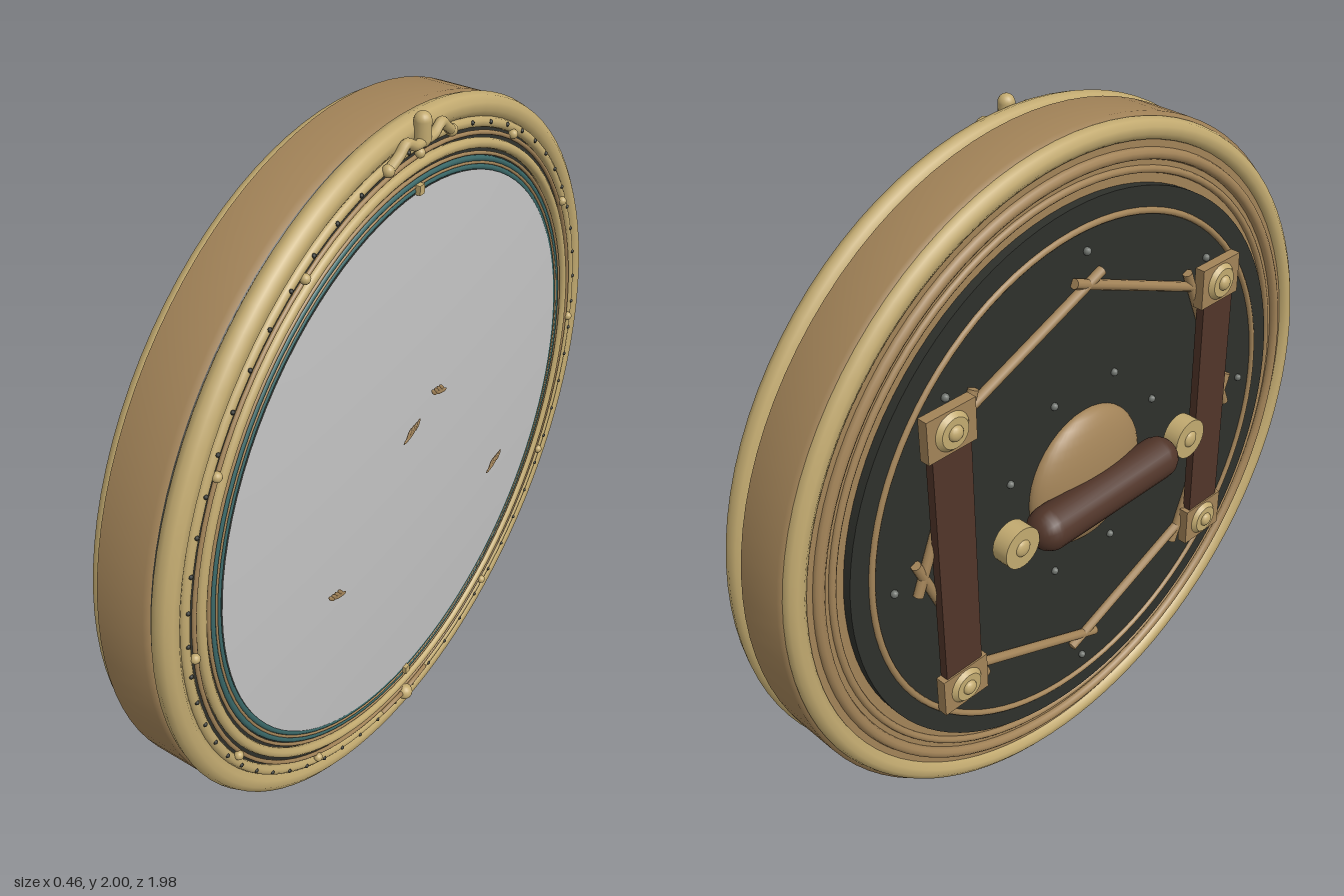
import * as THREE from 'three';

const mat = (name, color, side = THREE.FrontSide) => {
  const m = new THREE.MeshStandardMaterial({ color, side });
  m.name = name;
  return m;
};

export function createModel() {
  const gold = mat('pale gold', 0xc2aa70);
  const bronze = mat('bronze', 0xa28358);
  const dark = mat('dark iron', 0x2e302b);
  const leather = mat('brown leather', 0x513529);
  const glass = mat('silver glass', 0xc2c2c2);
  const teal = mat('teal enamel', 0x3a6868);
  const steel = mat('grey steel', 0x6c706b);

  // Everything is built with the disc facing +z, then turned to face +x.
  const disc = new THREE.Group();
  disc.name = 'disc';
  const add = (name, geo, m, x = 0, y = 0, z = 0, parent = disc) => {
    const mesh = new THREE.Mesh(geo, m);
    mesh.name = name;
    mesh.position.set(x, y, z);
    parent.add(mesh);
    return mesh;
  };
  // Profile of [radius, z] points turned round the z axis
  const lathe = (pts, seg = 96) =>
    new THREE.LatheGeometry(pts.map(p => new THREE.Vector2(...p)), seg).rotateX(Math.PI / 2);
  const ring = (name, R, tube, z, m, flat = 1) =>
    add(name, new THREE.TorusGeometry(R, tube, 10, 96), m, 0, 0, z).scale.set(1, 1, flat);
  const polar = (n, r, fn, offset = 0) => {
    for (let i = 0; i < n; i++) {
      const a = offset + i / n * Math.PI * 2;
      fn(r * Math.cos(a), r * Math.sin(a), a);
    }
  };
  const cylZ = (r1, r2, h, seg = 24) => new THREE.CylinderGeometry(r1, r2, h, seg).rotateX(Math.PI / 2);

  // Drum body
  add('drumWall', lathe([[0.97, -0.055], [0.985, -0.045], [0.985, 0.092], [0.97, 0.102]]), bronze);
  add('drumFrontFace', lathe([[0.97, 0.1], [0.93, 0.145], [0.79, 0.145]]), dark);
  add('drumBackFace', lathe([[0, -0.068], [0.95, -0.068]]), bronze);
  ring('backRim', 0.945, 0.03, -0.055, gold);
  ring('backInnerRim', 0.885, 0.016, -0.07, bronze);
  ring('backStepRim', 0.845, 0.01, -0.07, bronze);

  // Front frame: stacked mouldings
  ring('frontRim', 0.957, 0.033, 0.135, gold);
  ring('beadBand', 0.918, 0.014, 0.155, gold);
  ring('fineMoulding', 0.893, 0.006, 0.163, bronze);
  ring('innerMoulding', 0.866, 0.014, 0.16, gold);
  ring('thinMoulding', 0.841, 0.005, 0.162, bronze);
  ring('outerEnamel', 0.827, 0.008, 0.16, teal);
  ring('enamelWire', 0.817, 0.004, 0.164, bronze);
  ring('innerEnamel', 0.806, 0.008, 0.16, teal);

  // Domed glass
  const dome = [];
  for (let i = 0; i <= 10; i++) {
    const r = 0.8 * (1 - i / 10);
    dome.push([r, 0.195 - 0.027 * (r / 0.8) ** 2]);
  }
  add('mirrorGlass', lathe(dome), glass);

  // Frame studs and beads
  const bead = new THREE.SphereGeometry(0.006, 8, 6);
  const stud = new THREE.SphereGeometry(0.013, 14, 10);
  polar(60, 0.92, (x, y) => add('frameBead', bead, dark, x, y, 0.168), 0.05);
  polar(12, 0.902, (x, y) => add('frameStud', stud, gold, x, y, 0.17));
  for (const s of [1, -1])
    add('mirrorClip', new THREE.BoxGeometry(0.02, 0.025, 0.02), gold, 0, s * 0.81, 0.17);

  // Crest and foot ornaments
  const crest = new THREE.Group();
  crest.name = 'crest';
  disc.add(crest);
  const V = (x, y, z) => new THREE.Vector3(x, y, z);
  add('crestFinial', new THREE.CapsuleGeometry(0.022, 0.045, 8, 16), gold, 0, 0.962, 0.175, crest);
  for (const s of [1, -1]) {
    const arm = new THREE.CatmullRomCurve3([
      V(0, 0.935, 0.18), V(s * 0.04, 0.938, 0.182), V(s * 0.075, 0.955, 0.18),
      V(s * 0.1, 0.935, 0.178), V(s * 0.135, 0.91, 0.172)]);
    add('crestArm', new THREE.TubeGeometry(arm, 28, 0.013, 10), gold, 0, 0, 0, crest);
    add('crestTip', new THREE.SphereGeometry(0.016, 14, 10), gold, s * 0.135, 0.91, 0.172, crest);
    const swag = new THREE.CatmullRomCurve3([
      V(0, -0.91, 0.17), V(s * 0.05, -0.9, 0.172), V(s * 0.12, -0.905, 0.166)]);
    add('footSwag', new THREE.TubeGeometry(swag, 16, 0.008, 8), bronze);
  }
  add('footBoss', new THREE.SphereGeometry(0.025, 18, 12), gold, 0, -0.912, 0.17);

  // Small feather sprays floating before the glass
  const vane = new THREE.SphereGeometry(1, 12, 8);
  const spray = (x, y, s, size) => {
    const g = new THREE.Group();
    g.name = 'featherSpray';
    g.position.set(x, y, 0.225);
    for (let i = 0; i < 4; i++) {
      const f = add('feather', vane, bronze, s * (-0.024 + i * 0.013), 0.008 - i * 0.002, 0, g);
      f.scale.set(0.018, 0.0055, 0.003);
      f.rotation.z = -s * 0.85;
    }
    const spar = add('featherSpar', vane, bronze, s * 0.012, -0.008, 0, g);
    spar.scale.set(0.03, 0.007, 0.003);
    spar.rotation.z = -s * 0.3;
    g.scale.setScalar(size);
    disc.add(g);
  };
  spray(-0.085, 0.17, -1, 1);
  spray(0.038, 0.23, 1, 1);
  spray(-0.425, -0.145, 1, 1);
  spray(0.375, -0.22, -1, 1.05);

  // Back plate with wire ring and rivets
  add('backPlate', cylZ(0.81, 0.81, 0.03, 96), dark, 0, 0, -0.078);
  ring('backPlateRing', 0.745, 0.009, -0.094, bronze);
  const rivet = new THREE.SphereGeometry(0.011, 10, 8);
  polar(8, 0.68, (x, y) => add('outerRivet', rivet, steel, x, y, -0.098));
  polar(8, 0.3, (x, y) => add('innerRivet', rivet, steel, x, y, -0.096), Math.PI / 8);

  // Octagon of overlapping rods
  const rod = new THREE.CylinderGeometry(0.014, 0.014, 0.56, 10);
  polar(8, 0.545, (x, y, a) => {
    add('braceRod', rod, bronze, x, y, -0.102).rotation.z = a;
  }, Math.PI / 8);

  // Central boss
  const boss = new THREE.SphereGeometry(1, 40, 20);
  add('backBoss', boss, bronze, 0, 0, -0.095).scale.set(0.21, 0.21, 0.07);

  // Side straps with end plates and bolts
  for (const s of [1, -1]) {
    add('strap', new THREE.BoxGeometry(0.125, 0.9, 0.025), leather, s * 0.5, 0, -0.122);
    for (const t of [1, -1]) {
      add('strapPlate', new THREE.BoxGeometry(0.155, 0.12, 0.03), bronze, s * 0.5, t * 0.415, -0.124);
      add('strapBolt', cylZ(0.055, 0.042, 0.014), gold, s * 0.5, t * 0.415, -0.144);
      add('strapBoltCap', new THREE.SphereGeometry(0.022, 16, 10), gold, s * 0.5, t * 0.415, -0.15)
        .scale.z = 0.7;
    }
  }

  // Hand grip with end mounts
  add('grip', new THREE.CapsuleGeometry(0.062, 0.43, 8, 16).rotateZ(Math.PI / 2),
    leather, 0, -0.02, -0.174);
  for (const s of [1, -1]) {
    add('gripMount', cylZ(0.06, 0.06, 0.05, 28), gold, s * 0.335, -0.005, -0.172);
    add('gripMountCap', new THREE.SphereGeometry(0.025, 16, 10), gold, s * 0.335, -0.005, -0.195)
      .scale.z = 0.5;
  }

  // Turn to face +x and stand on the ground
  disc.rotation.y = Math.PI / 2;
  disc.position.y = 0.993;
  const model = new THREE.Group();
  model.name = 'roundShieldMirror';
  model.add(disc);
  return model;
}
